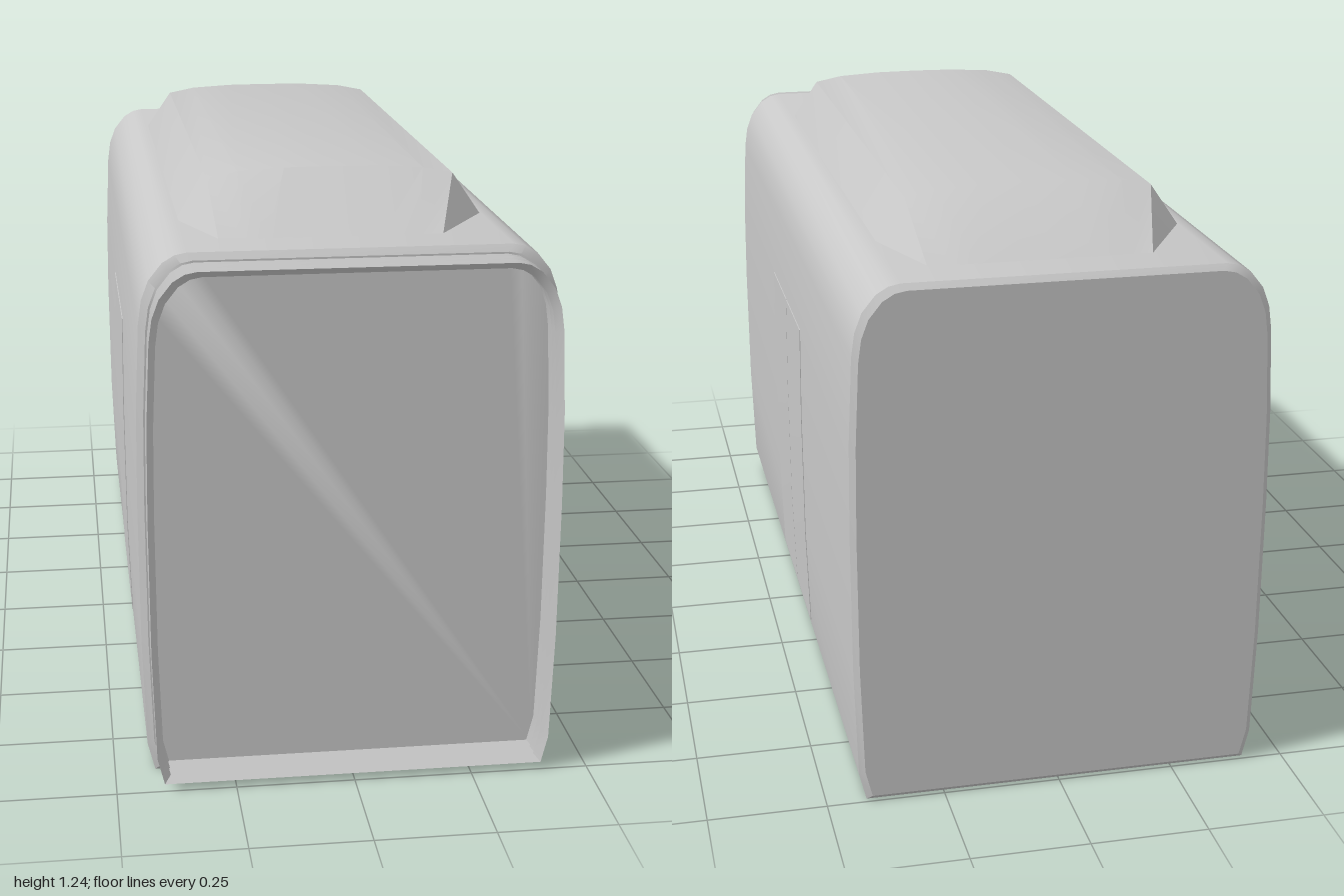
import * as THREE from 'three';
import { toCreasedNormals } from 'three/addons/utils/BufferGeometryUtils.js';

// Right half of the car's cross-section, bottom to top
const side = [
  [0.415, 0], [0.43, 0.06], [0.438, 0.3], [0.44, 0.6], [0.438, 0.8], [0.43, 0.98],
  [0.423, 1.03], [0.408, 1.07], [0.38, 1.105], [0.355, 1.12], [0.33, 1.125],
];
const mirror = (half) => [...half, ...half.slice().reverse().filter(([x]) => x > 0).map(([x, y]) => [-x, y])];
const carProfile = mirror(side);

// The car's cross-section shrunk inwards by d and set at z
const section = (z, d) => carProfile.map(([x, y]) => [
  x * (1 - d / 0.44), 0.5625 + (y - 0.5625) * (1 - d / 0.5625), z,
]);

// Skin over rings of equal point count, ordered from back to front
function loft(rings, capped, crease) {
  const n = rings[0].length;
  const index = [];
  for (let r = 0; r < rings.length - 1; r++) {
    for (let i = 0; i < n; i++) {
      const a = r * n + i, b = r * n + (i + 1) % n;
      index.push(a, b, b + n, a, b + n, a + n);
    }
  }
  if (capped) {
    const f = (rings.length - 1) * n;
    for (let i = 1; i < n - 1; i++) index.push(0, i + 1, i, f, f + i, f + i + 1);
  }
  const geo = new THREE.BufferGeometry();
  geo.setAttribute('position', new THREE.Float32BufferAttribute(rings.flat(2), 3));
  geo.setIndex(index);
  return toCreasedNormals(geo, crease);
}

export function createModel() {
  const model = new THREE.Group();
  const grey = new THREE.MeshStandardMaterial({ color: 0xc8c8c8 });
  grey.name = 'grey paint';
  grey.side = THREE.DoubleSide;
  const add = (name, geo) => {
    const mesh = new THREE.Mesh(geo, grey);
    mesh.name = name;
    model.add(mesh);
    return mesh;
  };

  // Car body with softened ends
  add('carBody', loft([
    section(-1, 0.012), section(-0.988, 0), section(0.898, 0), section(0.91, 0.014),
  ], true, 0.6));

  // Open folded gangway at the front
  const folds = [];
  for (let i = 0; i <= 6; i++) folds.push(section(0.908 + i * 0.0153, i % 2 ? 0.03 : 0.016));
  add('gangwayBellows', loft(folds, false, 0.5));

  // Roof pod, sloping and narrowing to both ends
  const podProfile = mirror([[0.33, 1.12], [0.265, 1.215], [0.2, 1.228], [0.1, 1.234], [0, 1.235]]);
  const podRing = (z, sx, sy) => podProfile.map(([x, y]) => [x * sx, 1.12 + (y - 1.12) * sy, z]);
  add('roofPod', loft([
    podRing(-0.89, 0.78, 0.03), podRing(-0.68, 1, 1), podRing(0.59, 1, 1), podRing(0.79, 0.78, 0.03),
  ], true, 0.5));

  // Thin door leaves following the curve of the side
  const wall = [[0.4304, 0.07], [0.438, 0.3], [0.44, 0.6], [0.438, 0.81]];
  const addDoor = (name, s, z0, z1) => {
    const outer = wall.map(([x, y]) => new THREE.Vector2(s * (x + 0.0015), y));
    const inner = wall.map(([x, y]) => new THREE.Vector2(s * (x - 0.004), y)).reverse();
    const geo = new THREE.ExtrudeGeometry(new THREE.Shape([...outer, ...inner]), {
      depth: z1 - z0, bevelEnabled: false,
    });
    add(name, toCreasedNormals(geo, 0.5)).position.z = z0;
  };
  addDoor('rightSideFrontDoor', 1, -0.038, 0.2);
  addDoor('rightSideRearDoor', 1, -0.28, -0.041);
  addDoor('leftSideDoor', -1, -0.28, 0.2);

  return model;
}
